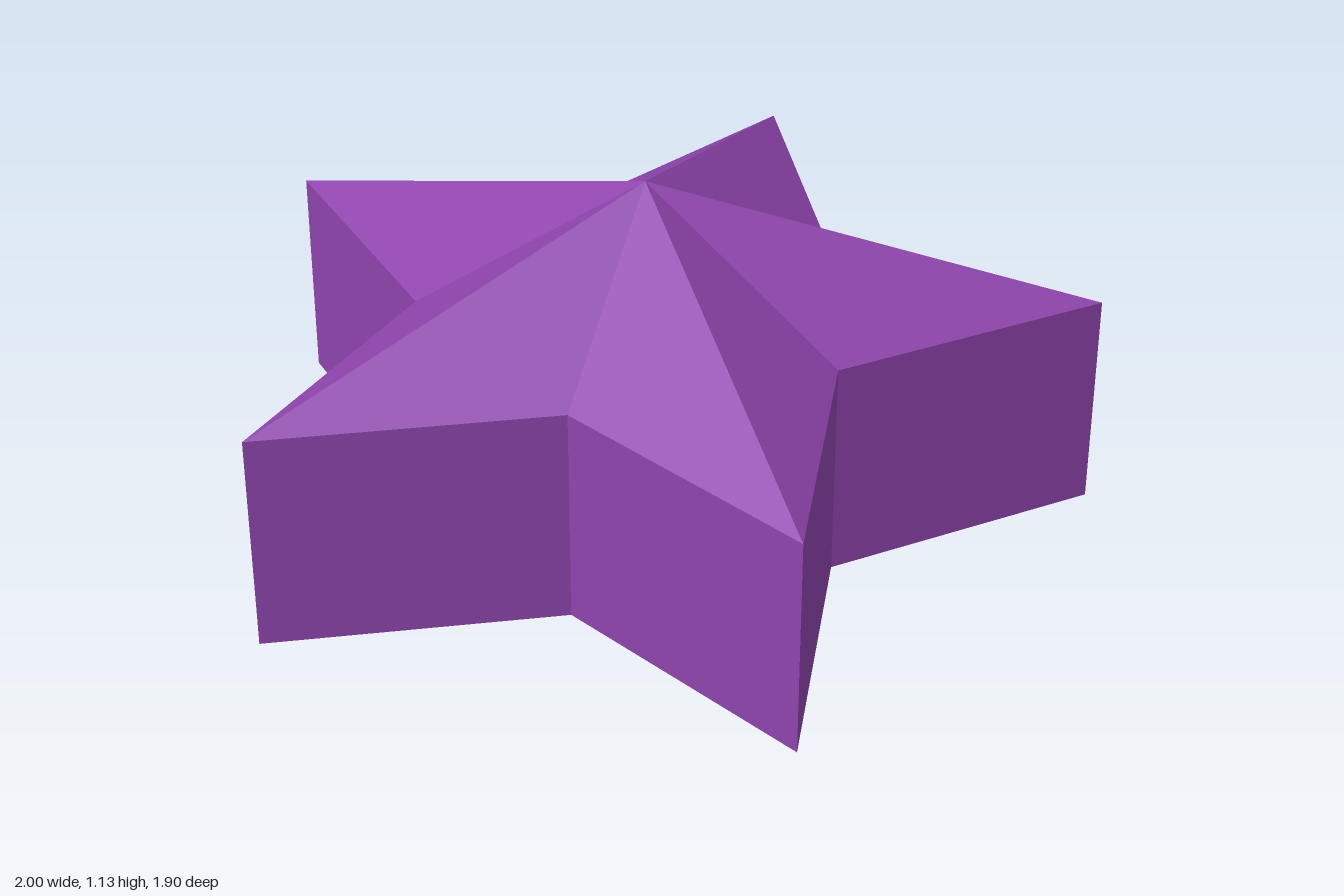
import * as THREE from 'three';

const OUTER = 1.0515, INNER = 0.53;

// Ten-sided cylinder section whose rim is pulled into a five-pointed star
function starSection(name, topRadius, bottomRadius, y0, y1, material) {
  const geo = new THREE.CylinderGeometry(topRadius, bottomRadius, y1 - y0, 10, 1, true);
  const pos = geo.attributes.position;
  for (let i = 0; i < pos.count; i++) {
    const x = pos.getX(i), z = pos.getZ(i);
    const step = Math.round(Math.atan2(x, z) / (Math.PI / 5));
    const r = step % 2 === 0 ? INNER : OUTER; // a notch faces the front
    pos.setX(i, x * r);
    pos.setZ(i, z * r);
  }
  const flat = geo.toNonIndexed();
  flat.computeVertexNormals();
  const mesh = new THREE.Mesh(flat, material);
  mesh.name = name;
  mesh.position.set(0, (y0 + y1) / 2, 0.1);
  return mesh;
}

export function createModel() {
  const group = new THREE.Group();
  group.name = 'star';
  const purple = new THREE.MeshStandardMaterial({ color: 0x8e44ad });
  purple.name = 'purple';
  purple.flatShading = true;

  group.add(
    starSection('bottomPoint', 1, 0, 0, 0.295, purple),
    starSection('starWalls', 1, 1, 0.295, 0.82, purple),
    starSection('topPoint', 0, 1, 0.82, 1.13, purple),
  );
  return group;
}
